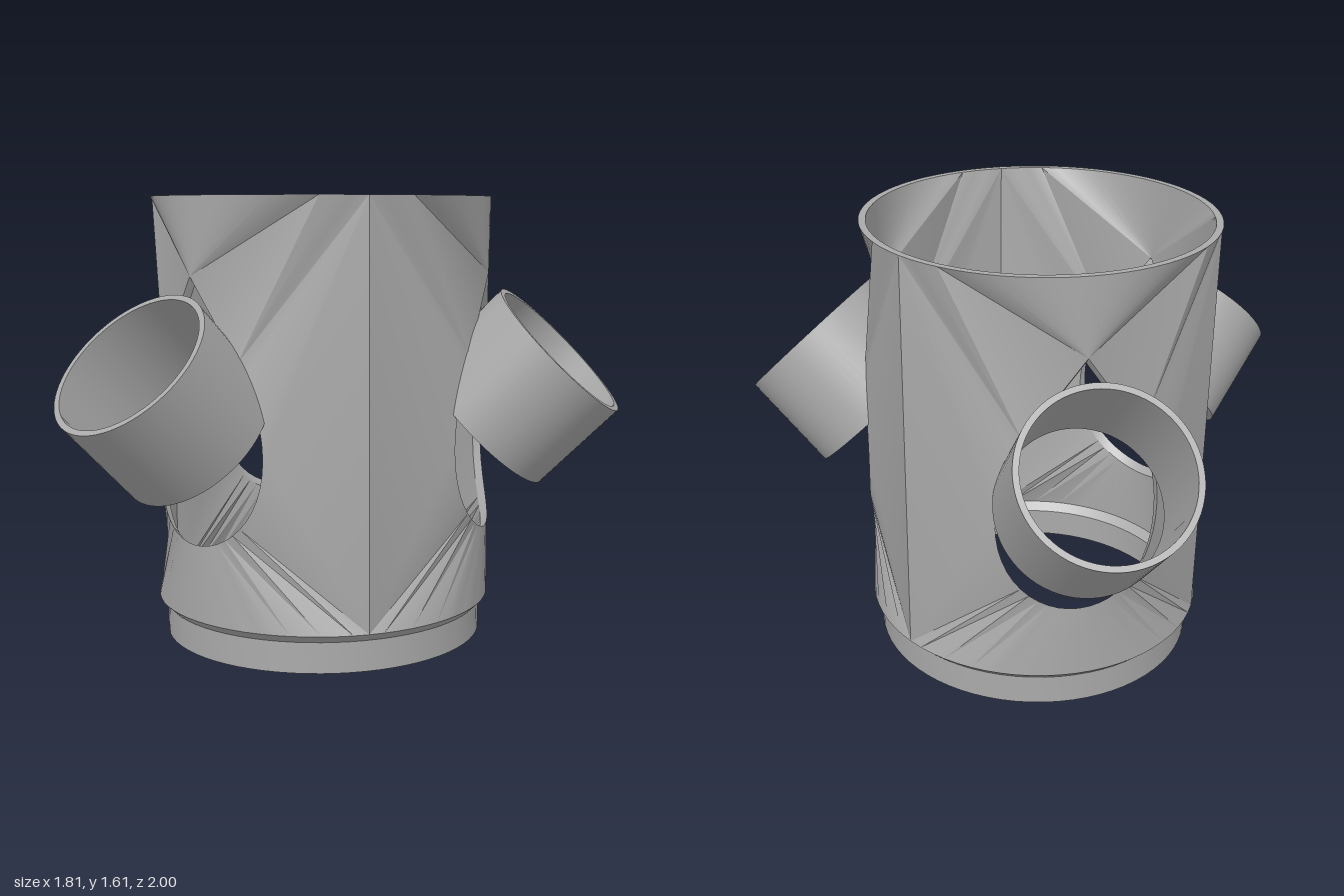
import * as THREE from 'three';
import { mergeGeometries, toCreasedNormals } from 'three/addons/utils/BufferGeometryUtils.js';

const OUTER = 0.62, INNER = 0.595, TOP = 1.61, BASE = 0.14;
const ARC = 12;      // steps per sixth of the rim
const CURVE = 18;    // steps along the round part of a port
const SEGMENTS = ARC * 6;
const CREASE = 0.4;

// Half of a port outline (point at the top, round below), sheared at 45 degrees onto radius R
function portOutline(R) {
  const r = 0.28;
  const section = [[0, 0.375]];
  for (let i = 0; i <= CURVE; i++) {
    const a = Math.PI / 4 - (i / CURVE) * Math.PI * 0.75;
    section.push([r * Math.cos(a), r * Math.sin(a)]);
  }
  return section.map(([u, v]) => {
    const x = Math.sqrt(R * R - u * u);
    return [x, x + 0.19 + Math.SQRT2 * v, Math.abs(u) < 1e-6 ? 0 : u];
  });
}

// Rim points from the middle of the sector out to its edge, then back along the base
function frameOutline(R) {
  const at = (i, y) => {
    const a = (i / ARC) * Math.PI / 3;
    return [R * Math.cos(a), y, R * Math.sin(a)];
  };
  const pts = [];
  for (let i = 0; i <= ARC; i++) pts.push(at(i, TOP));
  for (let i = ARC; i >= 0; i--) pts.push(at(i, BASE));
  return pts;
}

// One third of the wall, with long facets spanning from the rims to the port
function wallSector() {
  const pos = [];
  const tri = (a, b, c, flip) => pos.push(...a, ...(flip ? c : b), ...(flip ? b : c));
  for (const side of [1, -1]) {
    const mirror = (p) => [p[0], p[1], p[2] * side];
    const ports = [];
    for (const R of [OUTER, INNER]) {
      const flip = (side < 0) !== (R === INNER);
      const frame = frameOutline(R).map(mirror);
      const port = portOutline(R).map(mirror);
      ports.push(port);
      let o = 0, h = 0;
      const advance = (oEnd, hEnd) => {
        const o0 = o, h0 = h;
        while (o < oEnd || h < hEnd) {
          const fo = o < oEnd ? (o - o0 + 0.5) / (oEnd - o0) : 2;
          const fh = h < hEnd ? (h - h0 + 0.5) / (hEnd - h0) : 2;
          if (fo <= fh) {
            tri(frame[o], frame[o + 1], port[h], flip);
            o++;
          } else {
            tri(frame[o], port[h + 1], port[h], flip);
            h++;
          }
        }
      };
      const middle = 1 + CURVE / 3, lower = 1 + CURVE * 2 / 3;
      advance(ARC - 3, 0);                  // upper rim to the port's point
      advance(ARC - 3, 1);
      advance(ARC, 1);                      // narrow band by the corner
      advance(ARC, middle);                 // corner to the port's side
      advance(ARC + 1, middle);             // tall flat panel
      advance(ARC + 1, lower);
      advance(2 * ARC + 1, port.length - 1); // lower rim to the port's bottom
    }
    // cut edge of the port
    const [po, pi] = ports;
    for (let j = 0; j < po.length - 1; j++) {
      tri(po[j], po[j + 1], pi[j + 1], side < 0);
      tri(po[j], pi[j + 1], pi[j], side < 0);
    }
  }
  const geo = new THREE.BufferGeometry();
  geo.setAttribute('position', new THREE.Float32BufferAttribute(pos, 3));
  return geo;
}

// Closed turned profile with crisp edges
function turned(profile) {
  const pts = profile.map(([r, y]) => new THREE.Vector2(r, y));
  return toCreasedNormals(new THREE.LatheGeometry(pts, SEGMENTS), CREASE);
}

export function createModel() {
  const model = new THREE.Group();
  model.name = 'towerSection';
  const grey = new THREE.MeshStandardMaterial({ color: 0xaaaaaa });
  grey.name = 'plainGrey';

  const body = new THREE.Group();
  body.name = 'body';
  body.position.x = -0.19;
  model.add(body);

  const add = (geo, name, parent = body) => {
    const mesh = new THREE.Mesh(geo, grey);
    mesh.name = name;
    parent.add(mesh);
    return mesh;
  };

  // Wall with three ports
  const turns = [0, 1, 2].map((k) => k * Math.PI * 2 / 3);
  const wall = mergeGeometries(turns.map((a) => wallSector().rotateY(a)));
  add(toCreasedNormals(wall, CREASE), 'wall');

  // Top rim
  const rim = new THREE.RingGeometry(INNER, OUTER, SEGMENTS).rotateX(-Math.PI / 2);
  add(rim, 'topRim').position.y = TOP;

  // Stepped collar under the wall
  add(turned([[0.565, 0], [0.59, 0], [0.59, 0.11], [OUTER, BASE],
    [INNER, BASE], [0.565, 0.11], [0.565, 0]]), 'collar');

  // Slanted open pipes
  const pipe = turned([[0.277, 0], [0.298, 0], [0.298, 0.382], [0.277, 0.382], [0.277, 0]]);
  turns.forEach((a) => {
    const arm = new THREE.Group();
    arm.name = 'pipeArm';
    arm.rotation.y = a;
    const mesh = add(pipe, 'pipe', arm);
    mesh.position.set(0.61, 0.8, 0);
    mesh.rotation.z = -Math.PI / 4;
    body.add(arm);
  });

  return model;
}
